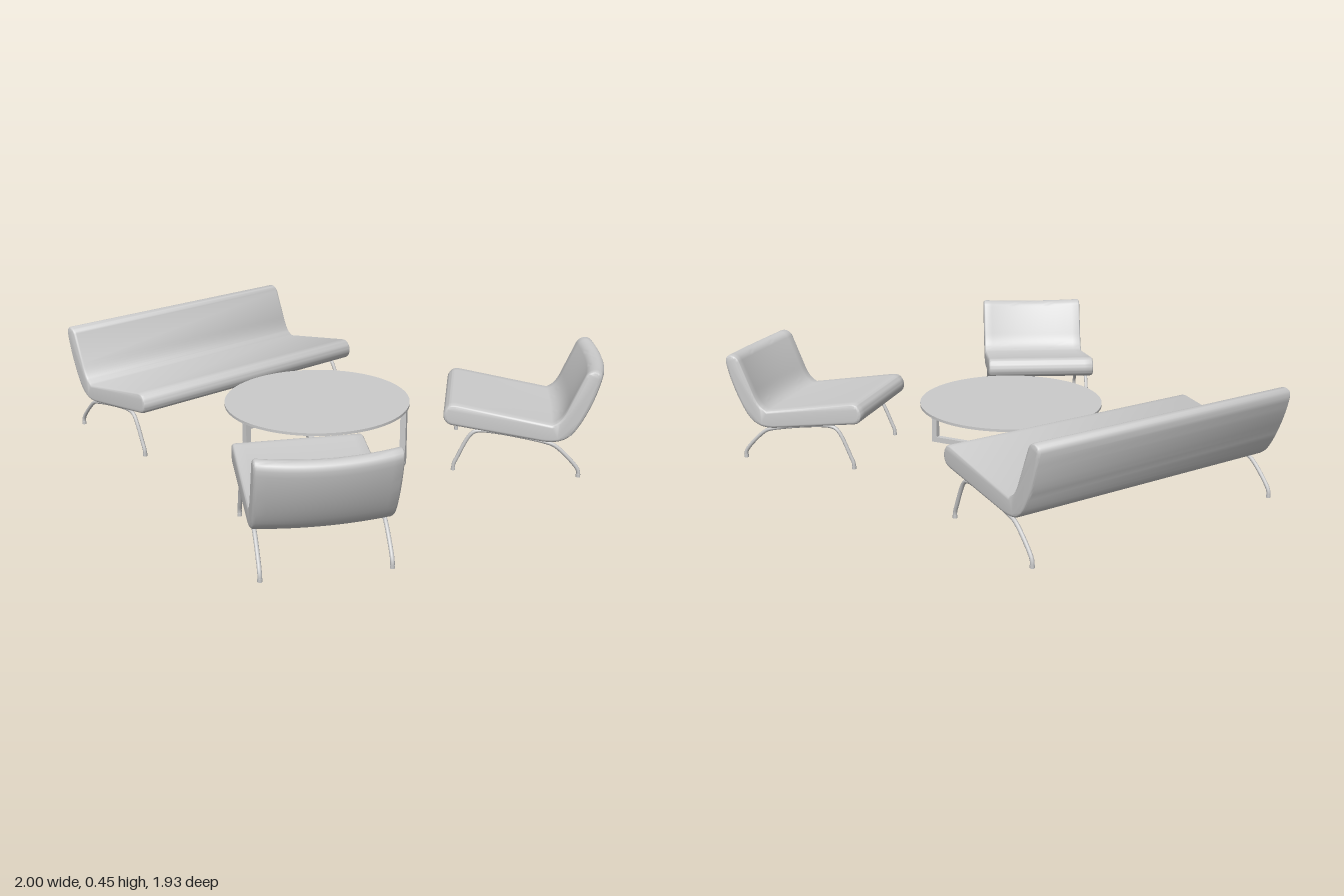
import * as THREE from 'three';
import { toCreasedNormals } from 'three/addons/utils/BufferGeometryUtils.js';

const material = new THREE.MeshStandardMaterial({ color: 0xcccccc });

function addMesh(parent, name, geometry) {
  const mesh = new THREE.Mesh(geometry, material);
  mesh.name = name;
  parent.add(mesh);
  return mesh;
}

// Side outline of a seat: front edge at x = 0, backrest towards -x
function seatProfile() {
  const s = new THREE.Shape();
  s.moveTo(-0.433, 0.222);                                   // crease
  s.bezierCurveTo(-0.465, 0.235, -0.48, 0.265, -0.495, 0.305);
  s.lineTo(-0.545, 0.43);                                    // backrest front
  s.bezierCurveTo(-0.558, 0.462, -0.612, 0.465, -0.61, 0.425);
  s.bezierCurveTo(-0.6, 0.36, -0.565, 0.265, -0.528, 0.205); // backrest rear
  s.bezierCurveTo(-0.5, 0.16, -0.46, 0.143, -0.4, 0.15);
  s.lineTo(-0.035, 0.2);                                     // underside
  s.bezierCurveTo(0.0, 0.208, 0.004, 0.245, -0.008, 0.265);
  s.bezierCurveTo(-0.02, 0.287, -0.035, 0.288, -0.055, 0.286);
  s.closePath();                                             // seat top
  return s;
}

// One upholstered shell; bulge curves the backrest outwards in the middle
function shellGeometry(width, bulge) {
  const bevel = 0.012;
  const geo = new THREE.ExtrudeGeometry(seatProfile(), {
    depth: width - 2 * bevel, steps: bulge ? 16 : 1, curveSegments: 10,
    bevelEnabled: true, bevelSize: bevel, bevelThickness: bevel,
    bevelOffset: -bevel, bevelSegments: 4,
  });
  geo.translate(0, 0, bevel - width / 2);
  const p = geo.attributes.position;
  for (let i = 0; i < p.count; i++) {
    const middle = 1 - (p.getZ(i) / (width / 2)) ** 2;
    const back = THREE.MathUtils.smoothstep(-p.getX(i), 0.33, 0.62) * middle;
    p.setX(i, p.getX(i) - bulge * back);
    p.setY(i, p.getY(i) - 0.4 * bulge * back);
  }
  return toCreasedNormals(geo, 0.7);
}

// Bent tube: rear foot, run under the seat, front foot
function legGeometry() {
  const points = [
    [-0.553, 0], [-0.552, 0.025], [-0.535, 0.052], [-0.455, 0.128], [-0.42, 0.142],
    [-0.15, 0.178], [-0.118, 0.164], [-0.062, 0.052], [-0.051, 0.025], [-0.05, 0],
  ].map(([x, y]) => new THREE.Vector3(x, y, 0));
  const curve = new THREE.CatmullRomCurve3(points, false, 'centripetal');
  return new THREE.TubeGeometry(curve, 60, 0.008, 10, false);
}

function createSeat(name, width, bulge, x, z, angle) {
  const seat = new THREE.Group();
  seat.name = name;
  addMesh(seat, 'seatShell', shellGeometry(width, bulge));
  for (const side of [-1, 1]) {
    const z0 = side * (width / 2 - 0.02);
    addMesh(seat, 'legFrame', legGeometry()).position.z = z0;
    for (const footX of [-0.553, -0.05]) {
      const foot = addMesh(seat, 'foot', new THREE.CylinderGeometry(0.009, 0.009, 0.012, 12));
      foot.position.set(footX, 0.006, z0);
    }
  }
  seat.position.set(x, 0, z);
  seat.rotation.y = angle;
  return seat;
}

// Three-armed bar with filleted inner corners
function starGeometry(radius, half, height) {
  const s = new THREE.Shape();
  const step = Math.PI * 2 / 3;
  for (let k = 0; k < 3; k++) {
    const a = -Math.PI / 2 + k * step;
    const at = (r, w) => [r * Math.cos(a) - w * Math.sin(a), r * Math.sin(a) + w * Math.cos(a)];
    if (k === 0) s.moveTo(...at(0.08, -half));
    s.lineTo(...at(radius, -half));
    s.lineTo(...at(radius, half));
    s.lineTo(...at(0.08, half));
    const b = a + step;
    const corner = half / Math.sin(step / 2);
    s.quadraticCurveTo(
      corner * Math.cos(a + step / 2), corner * Math.sin(a + step / 2),
      0.08 * Math.cos(b) + half * Math.sin(b), 0.08 * Math.sin(b) - half * Math.cos(b));
  }
  const geo = new THREE.ExtrudeGeometry(s, { depth: height, bevelEnabled: false, curveSegments: 10 });
  geo.rotateX(-Math.PI / 2);
  return toCreasedNormals(geo, 0.6);
}

function createTable() {
  const table = new THREE.Group();
  table.name = 'coffeeTable';
  const radius = 0.387, bar = 0.024;
  addMesh(table, 'tableTop', new THREE.CylinderGeometry(radius, radius, 0.011, 96)).position.y = 0.2385;
  addMesh(table, 'baseStar', starGeometry(radius, bar / 2, bar));
  addMesh(table, 'topStar', starGeometry(radius, bar / 2, bar)).position.y = 0.209;
  for (let k = 0; k < 3; k++) {
    const a = -Math.PI / 2 + k * Math.PI * 2 / 3;
    const post = addMesh(table, 'post', new THREE.BoxGeometry(bar, 0.185, bar));
    const r = radius - bar / 2;
    post.position.set(r * Math.cos(a), 0.1165, -r * Math.sin(a));
    post.rotation.y = a;
  }
  table.position.set(0.02, 0, 0.05);
  return table;
}

export function createModel() {
  const model = new THREE.Group();
  model.name = 'loungeSet';
  const deg = Math.PI / 180;
  model.add(
    createSeat('sofa', 1.165, 0, -0.391, 0.053, 0),
    createSeat('frontArmchair', 0.494, 0.028, 0.35, 0.445, 150 * deg),
    createSeat('rearArmchair', 0.494, 0.028, 0.34, -0.391, -140 * deg),
    createTable(),
  );
  return model;
}
